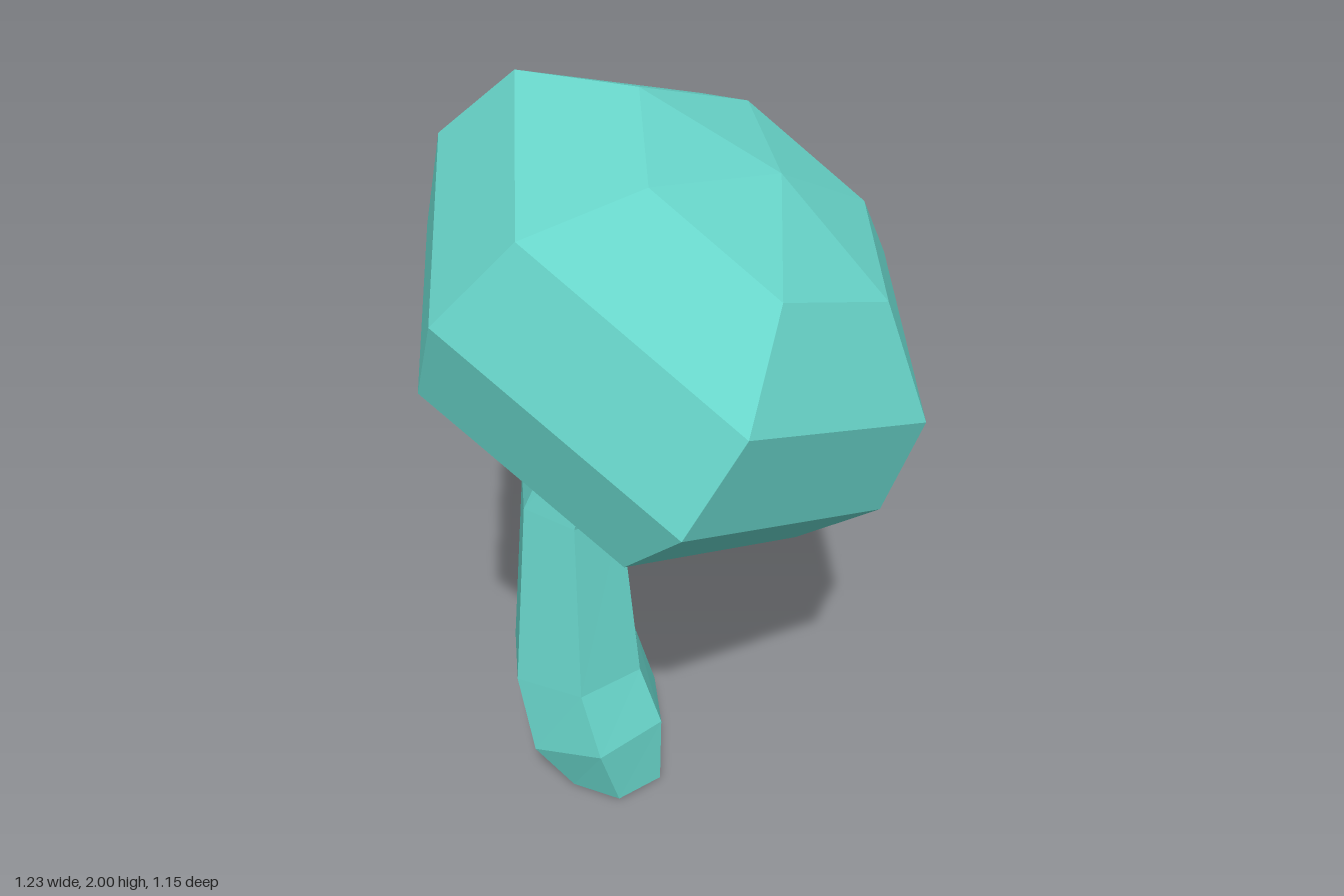
import * as THREE from 'three';

const SIDES = 6;

// Flat-faceted skin over hexagonal rings listed bottom to top.
// Each ring: centre c, radius r, unit directions u (towards +x) and v (towards +z).
function loft(rings, apex) {
  const pos = [];
  const tri = (...pts) => pts.forEach((p) => pos.push(p.x, p.y, p.z));
  const loops = rings.map(({ c, r, u, v }) =>
    Array.from({ length: SIDES }, (_, i) => {
      const a = (i / SIDES) * Math.PI * 2;
      return c.clone().addScaledVector(u, r * Math.cos(a)).addScaledVector(v, r * Math.sin(a));
    }));
  const last = loops.length - 1;
  for (let i = 0; i < SIDES; i++) {
    const k = (i + 1) % SIDES;
    tri(rings[0].c, loops[0][i], loops[0][k]);
    for (let j = 0; j < last; j++) {
      const lo = loops[j], hi = loops[j + 1];
      tri(lo[i], hi[i], lo[k]);
      tri(lo[k], hi[i], hi[k]);
    }
    tri(apex, loops[last][k], loops[last][i]);
  }
  const geo = new THREE.BufferGeometry();
  geo.setAttribute('position', new THREE.Float32BufferAttribute(pos, 3));
  geo.computeVertexNormals();
  return geo;
}

export function createModel() {
  const model = new THREE.Group();
  model.name = 'mushroom';
  const teal = new THREE.MeshStandardMaterial({ color: 0x68d5ca });
  teal.name = 'teal';
  teal.flatShading = true;

  // Cap: rings stacked along a leaning axis, [height, radius]
  const u = new THREE.Vector3(0.833, -0.553, 0).normalize();
  const v = new THREE.Vector3(0.043, 0.067, 0.997).normalize();
  const axis = new THREE.Vector3().crossVectors(v, u).normalize();
  const base = new THREE.Vector3(-0.1425, 1.2825, 0.016);
  const along = (h) => base.clone().addScaledVector(axis, h);
  const capRings = [[0, 0.573], [0.215, 0.665], [0.467, 0.596], [0.631, 0.352]]
    .map(([h, r]) => ({ c: along(h), r, u, v }));
  const cap = new THREE.Mesh(loft(capRings, along(0.695)), teal);
  cap.name = 'cap';

  // Stem: curved, each ring with its own tilt, [x, y, radius, tilt]
  const stemRings = [
    [-0.17, 0, 0.14, 0],
    [-0.225, 0.173, 0.204, 0.21],
    [-0.278, 0.382, 0.19, 0.01],
    [-0.275, 0.91, 0.142, -0.18],
    [-0.145, 1.282, 0.097, -0.59],
  ].map(([x, y, r, t]) => ({
    c: new THREE.Vector3(x, y, 0),
    r,
    u: new THREE.Vector3(Math.cos(t), Math.sin(t), 0),
    v: new THREE.Vector3(0, 0, 1),
  }));
  const stem = new THREE.Mesh(loft(stemRings, new THREE.Vector3(-0.12, 1.32, 0)), teal);
  stem.name = 'stem';

  model.add(cap, stem);
  return model;
}
